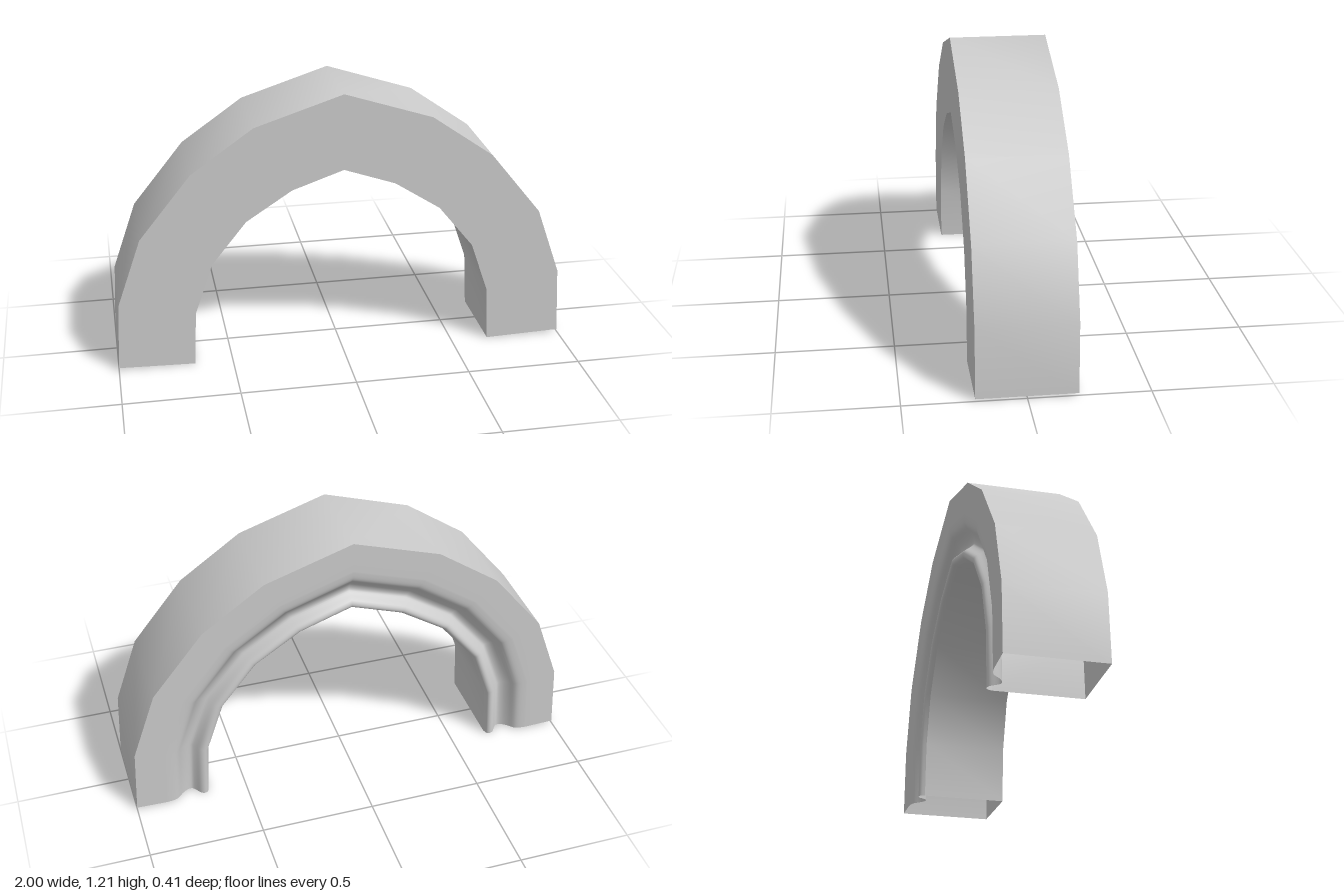
import * as THREE from 'three';

// Half of the arch, foot to crown: [outer x, outer y, inner x, inner y]
const HALF = [
  [1.0, 0.01, 0.667, 0.0],
  [0.985, 0.31, 0.655, 0.245],
  [0.88, 0.61, 0.578, 0.47],
  [0.655, 0.89, 0.425, 0.66],
  [0.385, 1.08, 0.225, 0.79],
];
const STATIONS = [
  ...HALF.map(([ox, oy, ix, iy]) => [-ox, oy, -ix, iy]),
  [0, 1.205, 0, 0.868],
  ...HALF.slice().reverse(),
];

// Profiles as [distance from outer to inner edge (0..1), z]
const FRONT = 0.207, BACK = -0.207;
const INNER_BACK = BACK + 0.04;

// Moulded back: flat band, cove, then a rounded bead at the inner edge
const moulding = new THREE.SplineCurve([
  [0.4, 0], [0.5, 0.004], [0.57, 0.014], [0.64, 0.038], [0.71, 0.055], [0.78, 0.06],
  [0.83, 0.045], [0.88, 0.022], [0.93, 0.014], [0.975, 0.02], [1, 0.04],
].map(([t, d]) => new THREE.Vector2(t, BACK + d)))
  .getPoints(30).map((p) => [p.x, p.y]);

const WALLS = {
  outerWall: [[0, BACK], [0, FRONT]],
  frontFace: [[0, FRONT], [1, FRONT]],
  innerWall: [[1, FRONT], [1, INNER_BACK]],
  mouldedBack: [[0, BACK], [0.2, BACK], ...moulding].reverse(),
};

// Sweeps a profile strip along the stations, smooth within the strip
function sweep(profile) {
  const positions = [], index = [], n = profile.length;
  STATIONS.forEach(([ox, oy, ix, iy], i) => {
    profile.forEach(([t, z], j) => {
      positions.push(ox + (ix - ox) * t, oy + (iy - oy) * t, z);
      if (i < STATIONS.length - 1 && j < n - 1) {
        const a = i * n + j, b = a + n;
        index.push(a, a + 1, b, a + 1, b + 1, b);
      }
    });
  });
  const geometry = new THREE.BufferGeometry();
  geometry.setAttribute('position', new THREE.Float32BufferAttribute(positions, 3));
  geometry.setIndex(index);
  geometry.computeVertexNormals();
  return geometry;
}

export function createModel() {
  const group = new THREE.Group();
  group.name = 'archMoulding';
  // Hollow arch, open at both feet
  const material = new THREE.MeshStandardMaterial({ color: 0xcccccc, side: THREE.DoubleSide });
  for (const [name, profile] of Object.entries(WALLS)) {
    const mesh = new THREE.Mesh(sweep(profile), material);
    mesh.name = name;
    group.add(mesh);
  }
  return group;
}
